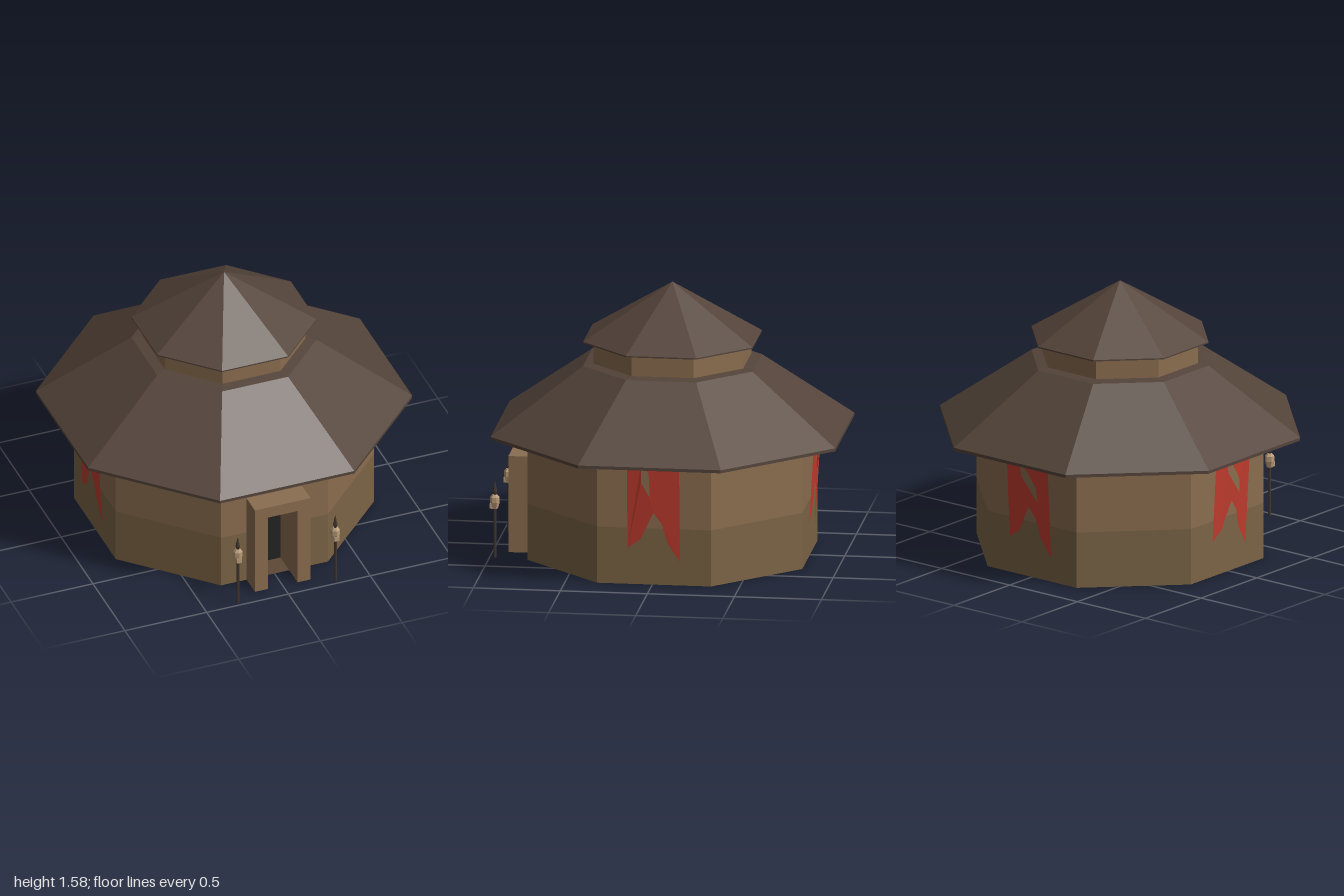
import * as THREE from 'three';

const mat = (color, side = THREE.FrontSide) =>
  new THREE.MeshStandardMaterial({ color, side, flatShading: true });
const roofMat = mat(0x54443a);
const wallMat = mat(0x8a6d4f);
const wallLowMat = mat(0x7b6445);
const floorMat = mat(0x5e4935, THREE.DoubleSide);
const doorMat = mat(0x222222);
const poleMat = mat(0x40352e);
const boneMat = mat(0xb89a78);
const clothMat = mat(0xc23c2e, THREE.DoubleSide);

const EIGHTH = Math.PI / 4;
const radius = (apothem) => apothem / Math.cos(EIGHTH / 2);

function add(parent, name, geometry, material) {
  const mesh = new THREE.Mesh(geometry, material);
  mesh.name = name;
  parent.add(mesh);
  return mesh;
}

// Eight-sided ring from [apothem, height] pairs, listed bottom to top
function octagon(profile, sides = 8) {
  const points = profile.map(([a, y]) => new THREE.Vector2(radius(a), y));
  return new THREE.LatheGeometry(points, sides, EIGHTH / 2, sides * EIGHTH).toNonIndexed();
}

const polygon = (points) => new THREE.Shape(points.map(([x, y]) => new THREE.Vector2(x, y)));

// Torn cloth hung from the eaves, leaning in towards the wall at its foot
function bannerGeometry(hole) {
  const shape = polygon([
    [-0.15, 0.73], [-0.15, 0.215], [-0.075, 0.27], [0, 0.43],
    [0.05, 0.36], [0.08, 0.25], [0.15, 0.14], [0.15, 0.73],
  ]);
  shape.holes.push(new THREE.Path(hole.map(([x, y]) => new THREE.Vector2(x, y))));
  const geometry = new THREE.ShapeGeometry(shape);
  const pos = geometry.attributes.position;
  for (let i = 0; i < pos.count; i++) {
    pos.setZ(i, 0.8 + 0.035 * Math.min(1, (pos.getY(i) - 0.14) / 0.48));
  }
  geometry.computeVertexNormals();
  return geometry;
}

// Pole with a pointed head and a skull on it
function skullPole() {
  const pole = new THREE.Group();
  pole.name = 'skullPole';
  add(pole, 'shaft', new THREE.CylinderGeometry(0.008, 0.009, 0.38, 6), poleMat).position.y = 0.19;
  const head = [[0.006, 0.36], [0.013, 0.39], [0.001, 0.45]].map(([r, y]) => new THREE.Vector2(r, y));
  add(pole, 'spearHead', new THREE.LatheGeometry(head, 6).toNonIndexed(), poleMat);
  const skull = [[0, 0.285], [0.018, 0.288], [0.028, 0.325], [0.027, 0.355], [0.015, 0.37], [0, 0.37]]
    .map(([r, y]) => new THREE.Vector2(r, y));
  add(pole, 'skull', new THREE.LatheGeometry(skull, 6).toNonIndexed(), boneMat);
  const jaw = add(pole, 'jaw', new THREE.BoxGeometry(0.03, 0.03, 0.02), boneMat);
  jaw.position.set(0, 0.304, 0.018);
  return pole;
}

export function createModel() {
  const hut = new THREE.Group();
  hut.name = 'hut';
  hut.position.z = -0.01;

  // Walls in two bands, leaving the front side open for the doorway
  const W = 0.79, split = 0.33, half = W * Math.tan(EIGHTH / 2);
  add(hut, 'lowerWall', octagon([[W, 0], [W, split]], 7), wallLowMat);
  add(hut, 'upperWall', octagon([[W, split], [W, 0.73]], 7), wallMat);
  add(hut, 'floor', octagon([[0, 0], [W, 0]]), floorMat);

  // Front wall around the doorway
  const D = 0.09, doorTop = 0.495;
  for (const s of [-1, 1]) {
    const lower = add(hut, 'lowerFrontWall', new THREE.PlaneGeometry(half - D, split), wallLowMat);
    lower.position.set(s * (half + D) / 2, split / 2, W);
  }
  const upper = polygon([
    [-half, split], [-D, split], [-D, doorTop], [D, doorTop],
    [D, split], [half, split], [half, 0.73], [-half, 0.73],
  ]);
  add(hut, 'upperFrontWall', new THREE.ShapeGeometry(upper), wallMat).position.z = W;

  // Door frame with a deep opening and a dark door at its end
  const frame = polygon([
    [-0.17, 0], [-D, 0], [-D, doorTop], [D, doorTop],
    [D, 0], [0.17, 0], [0.17, 0.565], [-0.17, 0.565],
  ]);
  const porch = new THREE.ExtrudeGeometry(frame, { depth: 0.27, bevelEnabled: false });
  add(hut, 'doorFrame', porch, wallMat).position.z = 0.65;
  const door = add(hut, 'door', new THREE.PlaneGeometry(2 * D, doorTop), doorMat);
  door.position.set(0, doorTop / 2, 0.655);

  // Main roof, lantern wall and top roof
  add(hut, 'mainRoof', octagon([
    [0, 0.72], [0.99, 0.72], [0.99, 0.738], [0.487, 1.118], [0.43, 1.128], [0, 1.128],
  ]), roofMat);
  add(hut, 'lanternWall', octagon([[0.43, 1.12], [0.43, 1.26]]), wallMat);
  add(hut, 'topRoof', octagon([[0, 1.252], [0.487, 1.252], [0.487, 1.26], [0, 1.58]]), roofMat);

  // Banners on both sides and the back
  const smallTear = [[-0.07, 0.71], [-0.07, 0.61], [-0.02, 0.52], [-0.025, 0.66], [-0.055, 0.71]];
  const longTear = [[-0.06, 0.69], [-0.04, 0.6], [0.07, 0.46], [0.06, 0.55], [0, 0.64]];
  const banners = [
    ['leftBanner', Math.PI / 2, smallTear],
    ['rightBanner', -Math.PI / 2, longTear],
    ['backBanner', Math.PI, longTear],
  ];
  for (const [name, angle, tear] of banners) {
    add(hut, name, bannerGeometry(tear), clothMat).rotation.y = angle;
  }

  // Skull poles beside the door
  for (const s of [-1, 1]) {
    const pole = skullPole();
    pole.position.set(s * 0.298, 0, 0.98);
    hut.add(pole);
  }

  const model = new THREE.Group();
  model.add(hut);
  return model;
}
